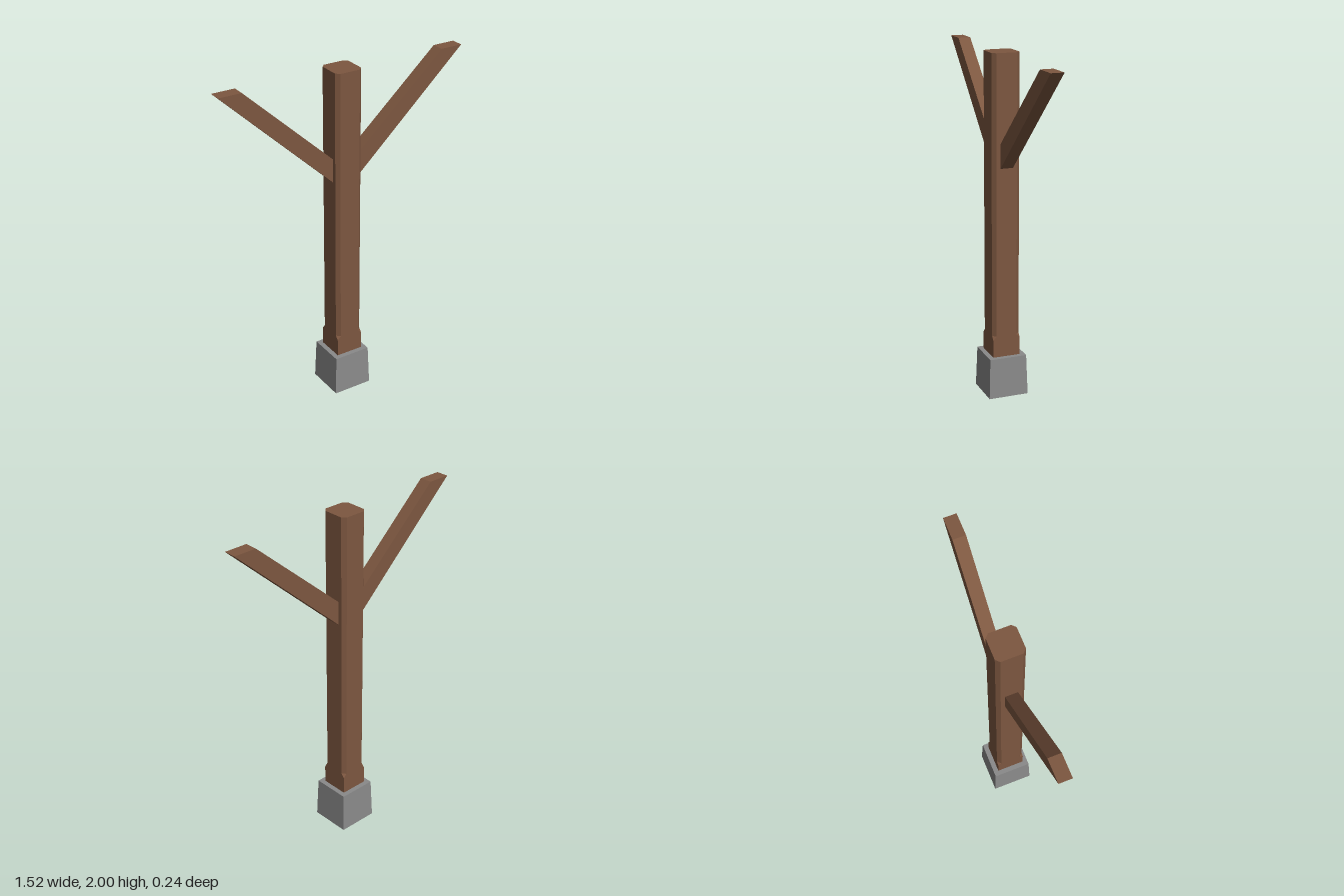
import * as THREE from 'three';

const timber = new THREE.MeshStandardMaterial({ color: 0x7d5740 });
timber.name = 'timber brown';
const stone = new THREE.MeshStandardMaterial({ color: 0x8a8a8a });
stone.name = 'stone grey';

const CX = -0.007; // post axis

// Square ring with its corners cut by c, counter-clockwise seen from above
function ring(y, h, c) {
  const k = h - c;
  return [[h, k], [h, -k], [k, -h], [-k, -h], [-h, -k], [-h, k], [-k, h], [k, h]]
    .map(([x, z]) => new THREE.Vector3(x, y, z));
}

// Flat-shaded skin through the rings, closed at both ends
function loft(rings) {
  const pts = [];
  const tri = (a, b, c) => {
    const area = b.clone().sub(a).cross(c.clone().sub(a)).length();
    if (area > 1e-9) pts.push(a, b, c);
  };
  for (let r = 0; r < rings.length - 1; r++) {
    const lo = rings[r], hi = rings[r + 1];
    for (let i = 0; i < 8; i++) {
      const j = (i + 1) % 8;
      tri(lo[i], lo[j], hi[j]);
      tri(lo[i], hi[j], hi[i]);
    }
  }
  const top = rings[rings.length - 1], bottom = rings[0];
  for (let i = 1; i < 7; i++) {
    tri(top[0], top[i], top[i + 1]);
    tri(bottom[0], bottom[i + 1], bottom[i]);
  }
  const g = new THREE.BufferGeometry().setFromPoints(pts);
  g.computeVertexNormals();
  return g;
}

// Slanted brace with upright inner end and level top
function brace(name, innerX, outerX, topInnerX, topY) {
  const corners = [[innerX, 1.36], [outerX, topY], [topInnerX, topY], [innerX, 1.5]];
  const shape = new THREE.Shape(corners.map(([x, y]) => new THREE.Vector2(x, y)));
  const g = new THREE.ExtrudeGeometry(shape, { depth: 0.074, bevelEnabled: false });
  g.translate(0, 0, -0.037);
  const mesh = new THREE.Mesh(g, timber);
  mesh.name = name;
  return mesh;
}

export function createModel() {
  const model = new THREE.Group();
  model.name = 'bracedPost';

  // Tapered footing with a brown underside
  const block = new THREE.CylinderGeometry(0.111 * Math.SQRT2, 0.119 * Math.SQRT2, 0.24, 4)
    .rotateY(Math.PI / 4).translate(CX, 0.12, 0).toNonIndexed();
  block.computeVertexNormals();
  const footing = new THREE.Mesh(block, [stone, stone, timber]);
  footing.name = 'footing';
  model.add(footing);

  // Square foot running into a shaft with chamfered corners
  const post = new THREE.Mesh(loft([
    ring(0.2, 0.082, 0),
    ring(0.345, 0.082, 0),
    ring(0.368, 0.082, 0.021),
    ring(2, 0.082, 0.021),
  ]), timber);
  post.name = 'post';
  post.position.x = CX;
  model.add(post);

  // Braces
  model.add(brace('rightBrace', CX - 0.082, -0.76, -0.625, 2));
  model.add(brace('leftBrace', CX + 0.082, 0.76, 0.625, 1.99));
  return model;
}
